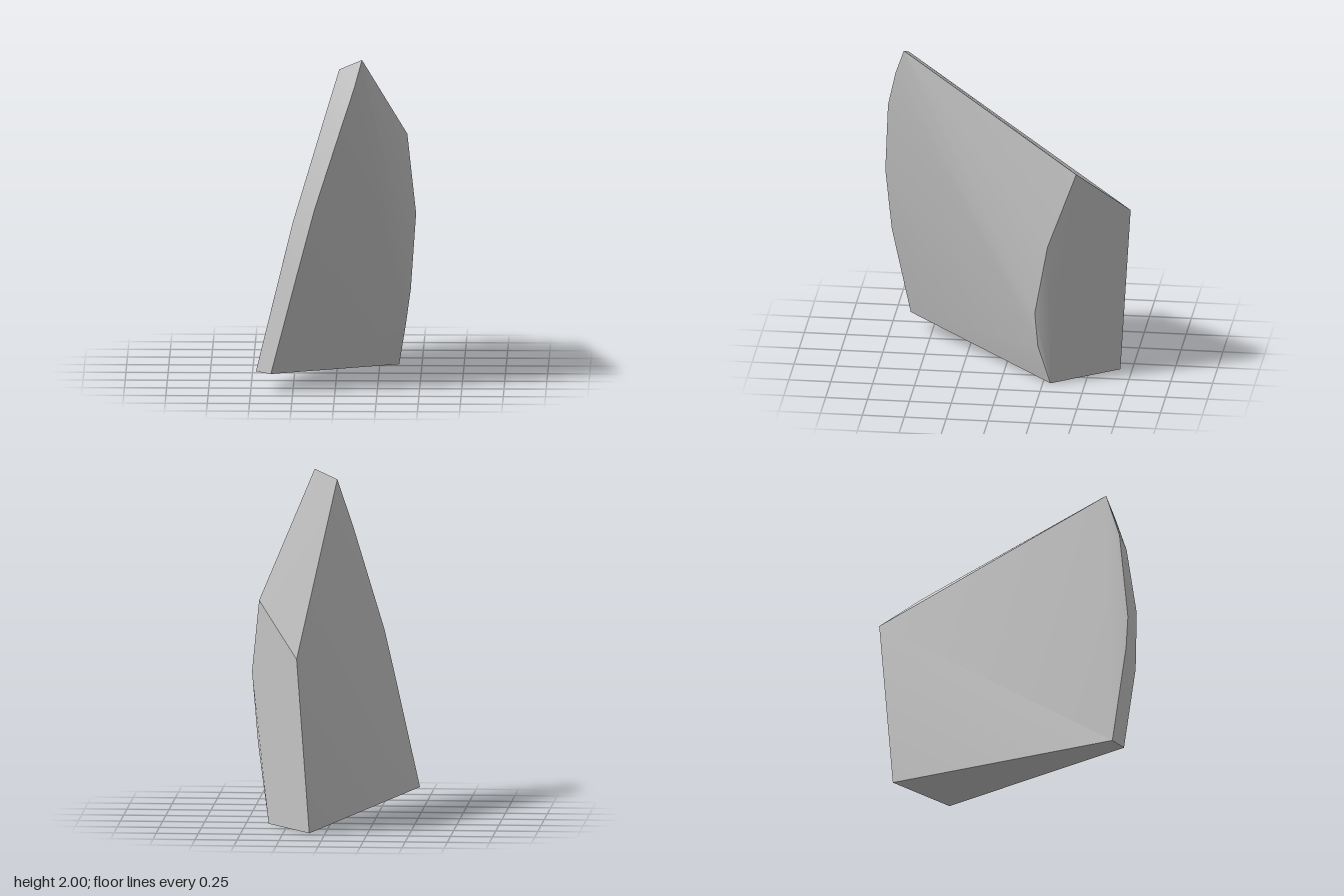
import * as THREE from 'three';
import { ConvexGeometry } from 'three/addons/geometries/ConvexGeometry.js';
import { toCreasedNormals } from 'three/addons/utils/BufferGeometryUtils.js';

export function createModel() {
  const group = new THREE.Group();
  group.name = 'rockShard';
  const stone = new THREE.MeshStandardMaterial({ color: 0xcccccc });
  stone.name = 'paleStone';

  // bowed front edge on the left side, top to bottom
  const frontRidge = [
    [0.16, 2, 0.605], [0.115, 1.84, 0.66], [0.035, 1.6, 0.715],
    [-0.12, 1.12, 0.75], [-0.23, 0.7, 0.725], [-0.38, 0.11, 0.63],
  ];
  // outer edge of the narrow front bevel
  const bevelEdge = [
    [0.025, 1.94, 0.59], [-0.065, 1.65, 0.655], [-0.25, 1.03, 0.675],
    [-0.305, 0.8, 0.655], [-0.47, 0.11, 0.545],
  ];
  // edge between the broad face and the back face
  const sideEdge = [
    [0.41, 1.36, -0.455], [0.465, 0.91, -0.29], [0.435, 0.47, -0.21],
    [0.405, 0.25, -0.225], [0.365, 0, -0.295],
  ];
  // rear vertical edge
  const rearEdge = [[0.165, 1.05, -0.75], [0.095, 0, -0.68]];

  // convex chipped block with sharp edges and softly curved faces
  const points = [...frontRidge, ...bevelEdge, ...sideEdge, ...rearEdge]
    .map((p) => new THREE.Vector3(...p));
  const shard = new THREE.Mesh(toCreasedNormals(new ConvexGeometry(points), 0.4), stone);
  shard.name = 'shard';
  group.add(shard);
  return group;
}
